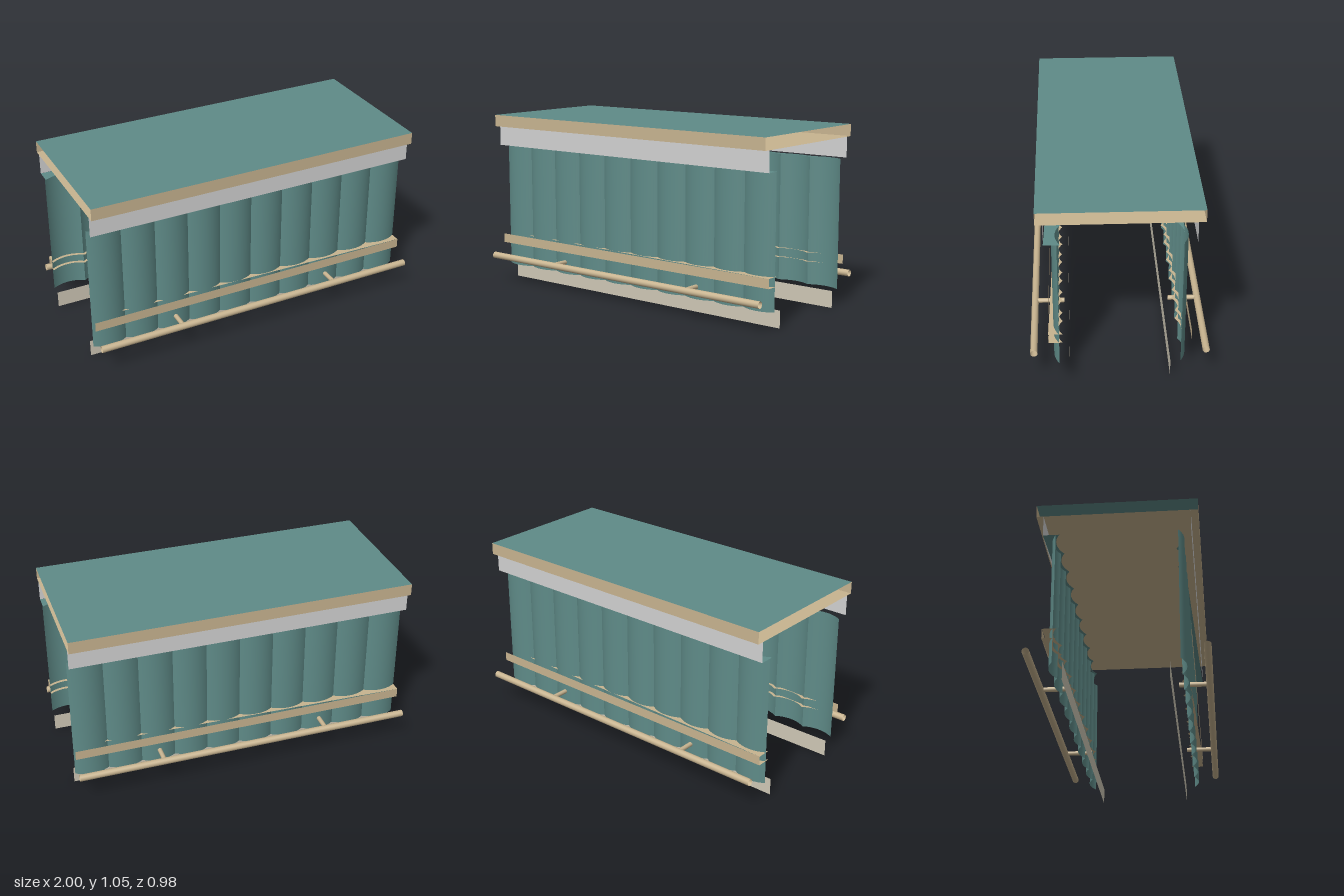
import * as THREE from 'three';

const paint = (name, color) => {
  const m = new THREE.MeshStandardMaterial({ color, side: THREE.DoubleSide });
  m.name = name;
  return m;
};

export function createModel() {
  const teal = paint('teal', 0x5f8b88);
  const tan = paint('tan', 0xc8b490);
  const white = paint('lightGrey', 0xd2d2d2);
  const stone = paint('stone', 0xcfc8b6);

  const model = new THREE.Group();
  model.name = 'corrugatedShelter';
  const add = (parent, name, geo, mat, x = 0, y = 0, z = 0) => {
    const mesh = new THREE.Mesh(geo, mat);
    mesh.name = name;
    mesh.position.set(x, y, z);
    parent.add(mesh);
    return mesh;
  };

  // Corrugation: ten outward arcs, 0.2 wide and 0.03 deep
  const pitch = 0.2, depth = 0.03, crest = 0.36, count = 10;
  const radius = (pitch * pitch / 4 + depth * depth) / (2 * depth);
  const half = Math.asin(pitch / 2 / radius);

  // Upright band from y0 to y1 at depth z
  const band = (parent, name, mat, y0, y1, z) =>
    add(parent, name, new THREE.PlaneGeometry(2, y1 - y0), mat, 0, (y0 + y1) / 2, z);

  // Flat ledge from a straight outer edge to a scalloped inner edge
  const ledge = (parent, name, mat, y, outer, inset) => {
    const s = new THREE.Shape();
    s.moveTo(-1, outer);
    for (let i = 0; i < count; i++) {
      s.absarc(-1 + pitch * (i + 0.5), crest - inset - radius, radius,
        Math.PI / 2 + half, Math.PI / 2 - half, true);
    }
    s.lineTo(1, outer);
    add(parent, name, new THREE.ShapeGeometry(s, 10).rotateX(Math.PI / 2), mat, 0, y, 0);
  };

  // Roof sheet and soffit, open at both ends
  const sheet = new THREE.PlaneGeometry(2, 0.88).rotateX(-Math.PI / 2);
  add(model, 'roof', sheet, teal, 0, 1.05, 0);
  add(model, 'soffit', sheet, tan, 0, 0.98, 0);

  const arc = new THREE.CylinderGeometry(radius, radius, 0.76, 10, 1, true, -half, 2 * half);
  const rod = new THREE.CylinderGeometry(0.02, 0.02, 2, 16, 1, true).rotateZ(Math.PI / 2);
  const peg = new THREE.CylinderGeometry(0.0135, 0.0135, 0.17, 12, 1, true).rotateX(Math.PI / 2);

  for (const name of ['frontSide', 'backSide']) {
    const side = new THREE.Group();
    side.name = name;
    if (name === 'backSide') side.rotation.y = Math.PI;
    model.add(side);

    // Corrugated wall
    for (let i = 0; i < count; i++) {
      add(side, 'wallPanel', arc, teal, -1 + pitch * (i + 0.5), 0.48, crest - radius);
    }

    // Fascia, header with its lower ledge, and base board
    band(side, 'fascia', tan, 0.98, 1.05, 0.44);
    band(side, 'header', white, 0.86, 0.98, 0.4);
    ledge(side, 'headerLedge', teal, 0.86, 0.4, 0.02);
    band(side, 'baseBoard', stone, 0, 0.1, 0.275);

    // Channel rail
    band(side, 'railFace', tan, 0.24, 0.295, 0.388);
    ledge(side, 'railTop', tan, 0.295, 0.388, 0.02);
    ledge(side, 'railBottom', tan, 0.24, 0.388, 0.02);

    // Long rod on two pegs
    add(side, 'rod', rod, tan, 0, 0.17, 0.469);
    for (const x of [-0.5, 0.5]) add(side, 'rodPeg', peg, tan, x, 0.172, 0.385);
  }
  return model;
}
